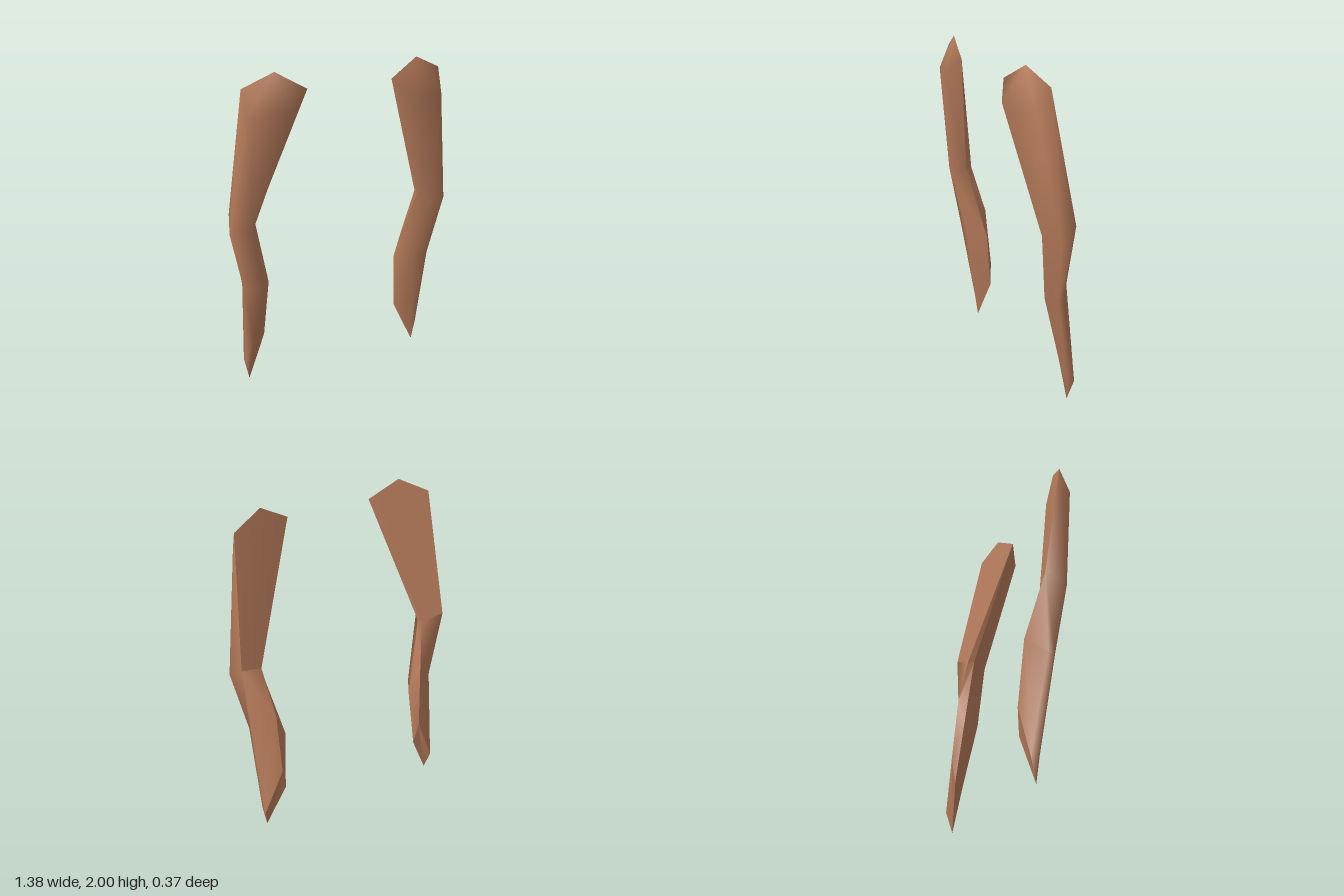
import * as THREE from 'three';
import { toCreasedNormals } from 'three/addons/utils/BufferGeometryUtils.js';

// Five-sided cross-sections from top to tip, each ordered:
// inner edge, front ridge, outer edge, back outer, back inner
const RINGS = [
  [[0.25, 1.9, 0.12], [0.35, 1.8, 0.185], [0.578, 1.78, 0.11], [0.592, 1.915, 0.037], [0.42, 2.0, 0.085]],
  [[0.525, 1.115, -0.033], [0.57, 1.1, 0.06], [0.69, 1.08, 0.01], [0.657, 1.16, -0.099], [0.529, 1.12, -0.071]],
  [[0.425, 0.66, -0.126], [0.49, 0.67, -0.014], [0.612, 0.7, -0.03], [0.61, 0.71, -0.065], [0.487, 0.82, -0.148]],
  [[0.455, 0.28, -0.165], [0.55, 0.3, -0.078], [0.597, 0.14, -0.12], [0.595, 0.13, -0.166], [0.478, 0.43, -0.183]],
];
const TIP = [0.576, 0.005, -0.13];
const N = 5;

// Patches: [side of the section, first ring, last ring (4 is the tip), flipped diagonal]
const FRONT = [[0, 0, 4], [1, 0, 4], [2, 0, 4], [3, 1, 2, true], [3, 2, 3]];
const BACK = [[3, 0, 1], [3, 3, 4], [4, 0, 4]];

// Skin over some patches; side = 1 for left (+x), -1 mirrored
function skin(side, patches, capped) {
  const points = [...RINGS.flat(), TIP];
  const tip = points.length - 1;
  const index = [];
  const tri = (a, b, c) => (side > 0 ? index.push(a, b, c) : index.push(a, c, b));

  for (const [j, from, to, flipped] of patches) {
    for (let r = from; r < to; r++) {
      const a = r * N + j, d = r * N + ((j + 1) % N);
      if (r === RINGS.length - 1) {
        tri(a, tip, d);
      } else if (flipped) {
        tri(a, a + N, d + N);
        tri(a, d + N, d);
      } else {
        tri(a, a + N, d);
        tri(d, a + N, d + N);
      }
    }
  }
  // slanted top face
  if (capped) for (let j = 0; j < N - 2; j++) tri(N - 1, j, j + 1);

  const geometry = new THREE.BufferGeometry();
  const flat = points.flatMap(([x, y, z]) => [x * side, y, z]);
  geometry.setAttribute('position', new THREE.Float32BufferAttribute(flat, 3));
  geometry.setIndex(index);
  return geometry;
}

export function createModel() {
  const group = new THREE.Group();
  group.name = 'hairStrands';
  const brown = new THREE.MeshStandardMaterial({ color: 0xb97d5c });
  brown.name = 'warm brown';

  for (const side of [1, -1]) {
    const strand = new THREE.Group();
    strand.name = side > 0 ? 'leftStrand' : 'rightStrand';

    // smooth front and outer side with the top face
    const frontGeometry = skin(side, FRONT, true);
    frontGeometry.computeVertexNormals();
    const front = new THREE.Mesh(frontGeometry, brown);
    front.name = 'strandFront';

    // flat upper back, inner strip and back of the tip
    const back = new THREE.Mesh(toCreasedNormals(skin(side, BACK, false), 0.6), brown);
    back.name = 'strandBack';

    strand.add(front, back);
    group.add(strand);
  }
  return group;
}
